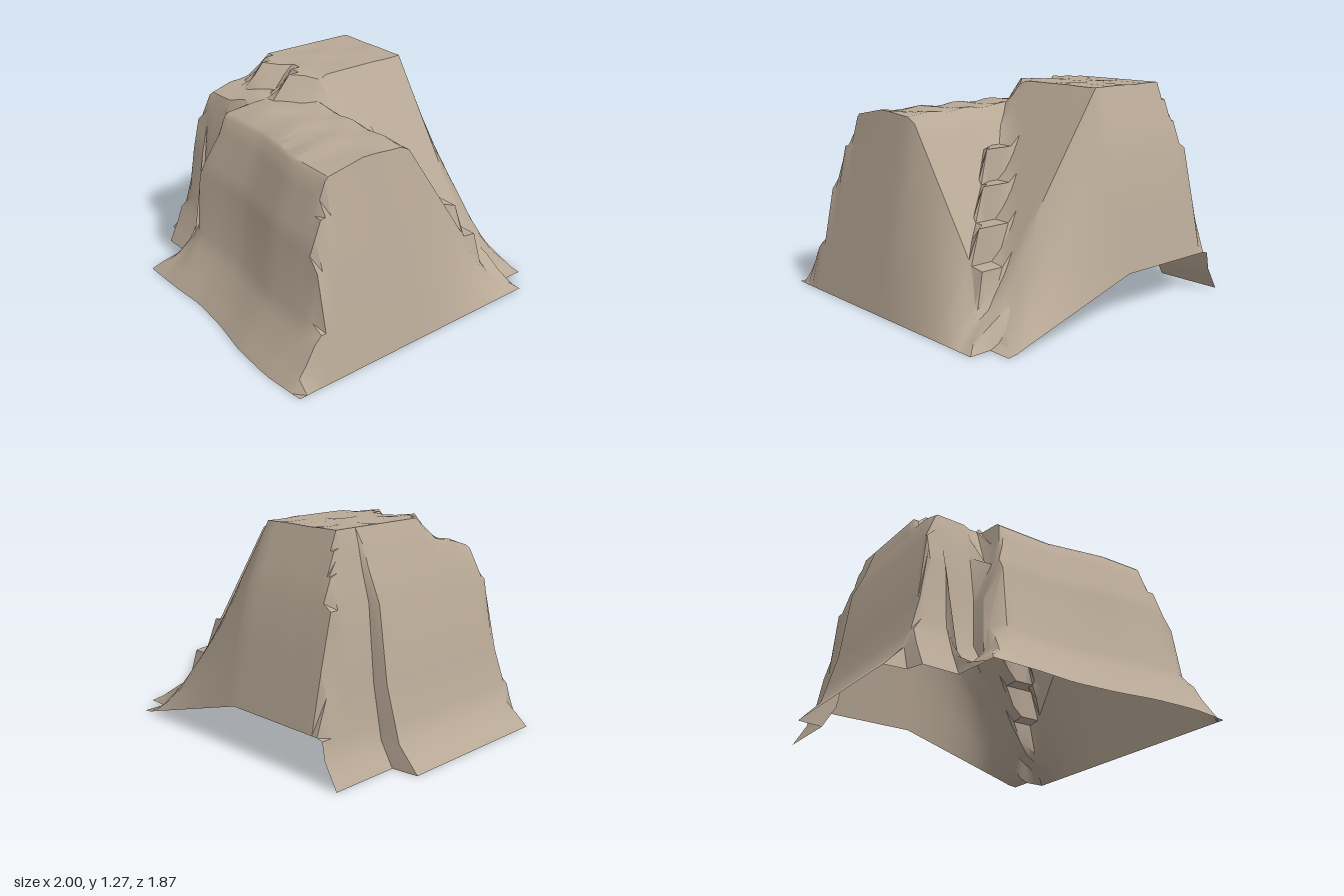
import * as THREE from 'three';
import { toCreasedNormals } from 'three/addons/utils/BufferGeometryUtils.js';

// Piecewise-linear curve through [position, value] points
function curve(points, t) {
  if (t <= points[0][0]) return points[0][1];
  for (let i = 1; i < points.length; i++) {
    const [a, va] = points[i - 1], [b, vb] = points[i];
    if (t <= b) return va + (vb - va) * (t - a) / (b - a);
  }
  return points[points.length - 1][1];
}

// Cliff profiles: height (left, front) or share of height (right, back) across each side
const LEFT = [[-1, 0], [-0.87, 0.14], [-0.78, 0.45], [-0.72, 0.88], [-0.64, 1.06], [-0.56, 1.3]];
const RIGHT = [[0.76, 1], [0.87, 0.55], [1, 0]];
const FRONT = [[0, 1.08], [0.05, 1.06], [0.4, 0.69], [0.48, 0.32], [0.74, 0.14], [1, 0]];
const BACK = [[-0.94, 0.2], [-0.8, 0.72], [-0.66, 1]];
// Rise of the ground behind the rim of the front cliff
const BEHIND = [[0, 1.08], [0.13, 1.12], [0.25, 1.3]];
// Left flank of the front bulge
const FLANK = [[-0.61, 0], [-0.47, 0.15], [-0.44, 0.5], [-0.31, 0.92], [-0.28, 1.1], [-0.2, 1.6]];
// Plan lines: foot and rim of the front cliff, and the zigzag edge of the upper terrace
const FOOT = [[-1, 0.51], [-0.87, 0.52], [-0.84, 0.62], [-0.62, 0.61], [-0.6, 0.89], [-0.3, 0.88],
  [-0.07, 0.86], [0.2, 0.88], [0.45, 0.92], [0.74, 0.93], [1, 0.9]];
const RIM = [[-1, 0.37], [-0.44, 0.35], [-0.36, 0.47], [0.1, 0.46], [0.48, 0.53], [1, 0.53]];
const TERRACE = [[-0.56, -0.01], [-0.44, 0.1], [-0.3, -0.03], [-0.16, 0.1], [-0.03, -0.05], [0.1, -0.12]];
// Treads stepping down the ravine towards the back
const TREADS = [[-0.76, 0.08], [-0.75, 0.15], [-0.63, 0.15], [-0.61, 0.35], [-0.52, 0.35], [-0.5, 0.55],
  [-0.39, 0.55], [-0.37, 0.74], [-0.27, 0.74], [-0.25, 0.92], [-0.15, 0.92], [0, 1.12]];

const COLUMNS = [-1, -0.94, -0.87, -0.84, -0.78, -0.72, -0.64, -0.62, -0.6, -0.56, -0.51, -0.47, -0.44, -0.36,
  -0.31, -0.28, -0.23, -0.16, -0.1, -0.03, 0.03, 0.1, 0.17, 0.24, 0.3, 0.36, 0.42, 0.48, 0.55, 0.62, 0.69,
  0.76, 0.81, 0.87, 0.94, 1];
const BACK_ROWS = [-0.94, -0.87, -0.8, -0.75, -0.7, -0.66, -0.63, -0.61, -0.52, -0.5, -0.44, -0.39, -0.37,
  -0.32, -0.27, -0.25, -0.2, -0.15, -0.08, -0.03, 0.03, 0.1, 0.16, 0.22, 0.3];
const FRONT_ROWS = [0, 0.05, 0.14, 0.22, 0.31, 0.4, 0.48, 0.6, 0.74, 0.87, 1];

function frontCliff(z, rim, foot) {
  return z < rim ? curve(BEHIND, rim - z) : curve(FRONT, (z - rim) / (foot - rim));
}

function height(x, z) {
  const foot = curve(FOOT, x), rim = curve(RIM, x);
  // Front cliff: a set-back wall on the left with the bulge in front of it
  const front = Math.max(frontCliff(z, Math.min(rim, 0.36), Math.min(foot, 0.62)),
    Math.min(frontCliff(z, rim, foot), curve(FLANK, x)));
  // Upper terrace, falling east into the ravine and north down the back cliff
  const bump = 0.015 * Math.sin(x * 23) * Math.cos(z * 11);
  const terrace = curve(BACK, z) * Math.min(1.275 + bump,
    1.27 - Math.max(0, x + 0.03) * 1.46,
    1.27 - Math.max(0, z - curve(TERRACE, x)) * 1.15);
  // Lower shelf, falling back into the stepped ravine
  let shelf = Math.min(1.13 - 0.02 * Math.max(0, x) + bump * 0.6, 1.12 + 1.46 * z);
  if (z < 0 && z > -0.76 && x < 0.2 - z) shelf = Math.max(shelf, curve(TREADS, z));
  const top = Math.max(terrace, shelf) * curve(RIGHT, x);
  return Math.max(0, Math.min(top, front, curve(LEFT, x)));
}

function terrainGeometry() {
  const rows = BACK_ROWS.length + FRONT_ROWS.length;
  const positions = [], index = [];
  for (let j = 0; j < rows; j++) {
    for (const p of COLUMNS) {
      const rim = curve(RIM, p), foot = curve(FOOT, p);
      const z = j < BACK_ROWS.length
        ? Math.min(BACK_ROWS[j], rim - 0.03)
        : rim + (foot - rim) * FRONT_ROWS[j - BACK_ROWS.length];
      // The left foot is drawn in towards the back corner
      const x = p < -0.56 && z < -0.51 ? -0.56 + (p + 0.56) * 0.64 : p;
      positions.push(x, height(p, z), z);
    }
  }
  const n = COLUMNS.length;
  const y = (i) => positions[i * 3 + 1];
  for (let j = 0; j < rows - 1; j++) {
    for (let i = 0; i < n - 1; i++) {
      const a = j * n + i, b = a + 1, c = a + n, d = c + 1;
      // Leave out ground that has no height
      if (Math.max(y(a), y(b), y(c), y(d)) < 0.002) continue;
      index.push(a, c, b, b, c, d);
    }
  }
  const geometry = new THREE.BufferGeometry();
  geometry.setAttribute('position', new THREE.Float32BufferAttribute(positions, 3));
  geometry.setIndex(index);
  return toCreasedNormals(geometry, 0.6);
}

export function createModel() {
  const group = new THREE.Group();
  group.name = 'rockyMesa';
  const stone = new THREE.MeshStandardMaterial({ color: 0xb8a896 });
  stone.name = 'sandstone';
  stone.side = THREE.DoubleSide;
  // Cliffs, terraces and ravine as one open shell
  const mesa = new THREE.Mesh(terrainGeometry(), stone);
  mesa.name = 'mesaTerrain';
  group.add(mesa);
  return group;
}
